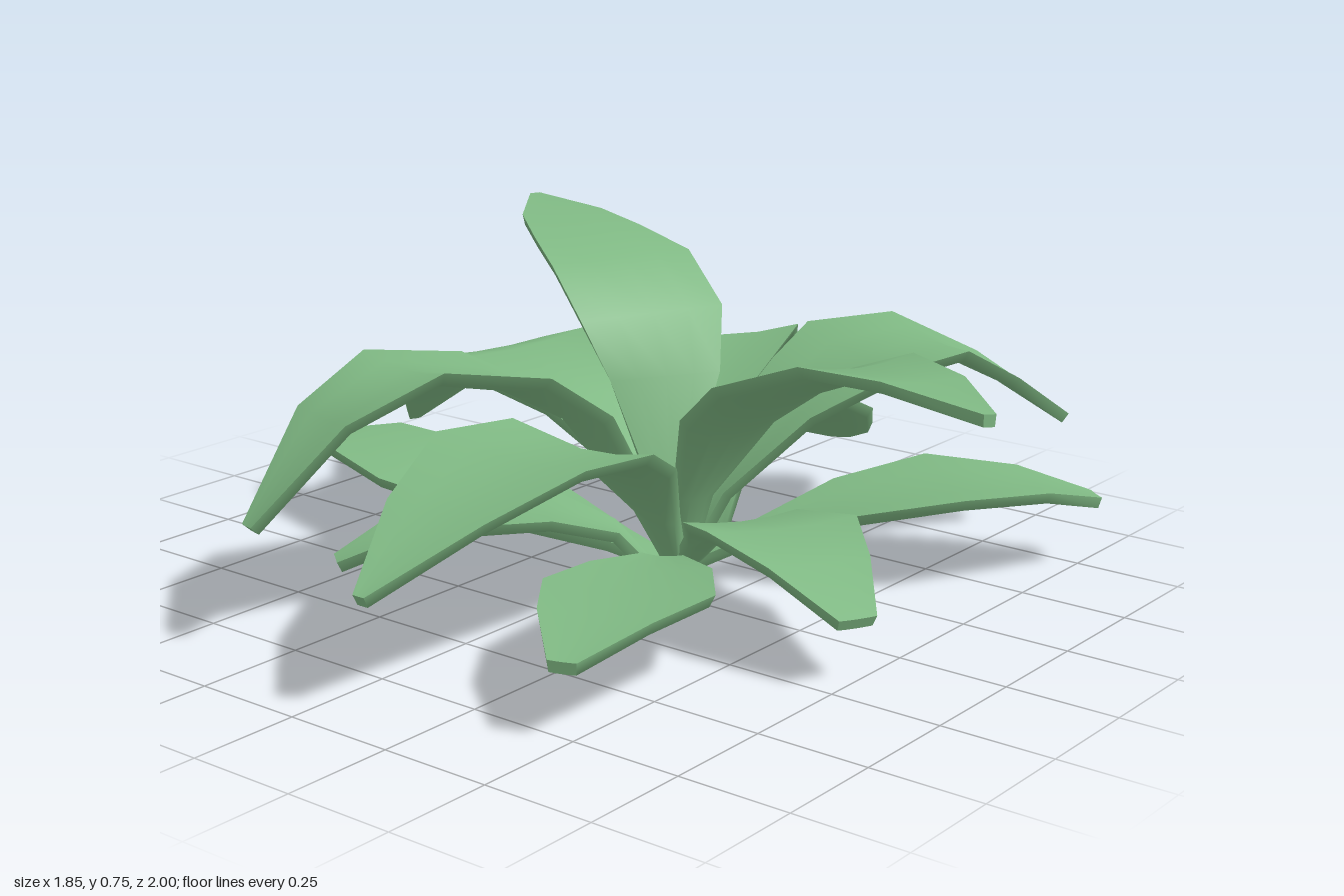
import * as THREE from 'three';

const material = new THREE.MeshStandardMaterial({ color: 0x7fb883 });
const THICK = 0.026;
const ACROSS = [-1, -0.5, 0, 0.5, 1];
const CROWN = [0.1, 0.035, 0.1, 0.02];

// Each leaf: cup, sideways tilt, then stations [x, y, z, half width] from the crown to the tip
const lowerLeaves = {
  lowerBackLeaf: [0.1, 0, CROWN, [0.07, 0.075, -0.05, 0.05], [0.03, 0.12, -0.3, 0.15], [-0.02, 0.175, -0.55, 0.18], [0, 0.195, -0.78, 0.125], [-0.015, 0.165, -0.995, 0.01]],
  lowerLeftLeaf: [0.1, 0.08, [0.22, 0.04, 0.1, 0.02], [0.28, 0.2, 0.09, 0.05], [0.42, 0.29, 0.07, 0.13], [0.58, 0.315, 0.04, 0.16], [0.75, 0.245, 0.03, 0.14], [0.86, 0.175, 0, 0.1], [0.91, 0.15, -0.01, 0.03]],
  lowerFrontLeftLeaf: [0.1, 0, CROWN, [0.2, 0.11, 0.22, 0.045], [0.34, 0.18, 0.38, 0.14], [0.5, 0.22, 0.54, 0.18], [0.65, 0.21, 0.68, 0.11], [0.775, 0.165, 0.775, 0.03]],
  lowerFrontLeaf: [0.1, 0.05, CROWN, [0.06, 0.13, 0.19, 0.04], [-0.01, 0.22, 0.35, 0.14], [-0.07, 0.25, 0.5, 0.18], [-0.14, 0.22, 0.64, 0.12], [-0.2, 0.15, 0.775, 0.045]],
  lowerFrontRightLeaf: [0.1, 0, CROWN, [-0.05, 0.11, 0.17, 0.045], [-0.22, 0.15, 0.27, 0.13], [-0.42, 0.18, 0.37, 0.18], [-0.6, 0.19, 0.43, 0.12], [-0.77, 0.165, 0.49, 0.03]],
  lowerBackRightLeaf: [0.1, 0, [0.04, 0.04, 0.08, 0.02], [-0.01, 0.13, 0.01, 0.05], [-0.13, 0.19, -0.1, 0.14], [-0.25, 0.19, -0.21, 0.145], [-0.37, 0.15, -0.33, 0.085], [-0.47, 0.09, -0.41, 0.03]],
};
const upperLeaves = {
  upperBackLeaf: [0.1, 0, CROWN, [0.1, 0.22, 0.02, 0.05], [0.09, 0.38, -0.16, 0.14], [0.1, 0.46, -0.38, 0.22], [0.15, 0.415, -0.55, 0.19], [0.22, 0.32, -0.72, 0.12], [0.305, 0.17, -0.91, 0.015]],
  tallLeaf: [-0.1, 0, CROWN, [0.11, 0.24, 0.065, 0.055], [0.14, 0.45, 0.03, 0.13], [0.17, 0.58, -0.03, 0.18], [0.22, 0.68, -0.16, 0.18], [0.27, 0.715, -0.3, 0.14], [0.33, 0.735, -0.43, 0.1], [0.43, 0.745, -0.6, 0.012]],
  upperLeftLeaf: [0.2, 0.08, CROWN, [0.2, 0.2, 0.06, 0.045], [0.33, 0.37, -0.02, 0.12], [0.5, 0.465, -0.09, 0.19], [0.68, 0.4, -0.17, 0.15], [0.82, 0.27, -0.2, 0.09], [0.92, 0.16, -0.2, 0.015]],
  upperFrontLeftLeaf: [0.15, 0, CROWN, [0.18, 0.2, 0.14, 0.05], [0.32, 0.38, 0.22, 0.16], [0.48, 0.485, 0.31, 0.24], [0.64, 0.505, 0.4, 0.2], [0.78, 0.42, 0.5, 0.13], [0.915, 0.3, 0.61, 0.022]],
  upperFrontLeaf: [0.2, 0.1, CROWN, [0.08, 0.22, 0.15, 0.045], [0.05, 0.41, 0.27, 0.12], [0.01, 0.52, 0.42, 0.18], [0.01, 0.6, 0.62, 0.18], [-0.03, 0.605, 0.8, 0.11], [-0.11, 0.59, 1, 0.015]],
  upperRightLeaf: [0.2, 0, CROWN, [0.01, 0.18, 0.12, 0.045], [-0.13, 0.33, 0.13, 0.13], [-0.28, 0.41, 0.13, 0.2], [-0.48, 0.425, 0.11, 0.21], [-0.7, 0.36, 0.11, 0.13], [-0.92, 0.25, 0.11, 0.015]],
  upperBackRightLeaf: [0.2, -0.1, CROWN, [0.01, 0.22, 0.06, 0.05], [-0.11, 0.42, -0.01, 0.15], [-0.26, 0.52, -0.1, 0.22], [-0.48, 0.565, -0.18, 0.2], [-0.65, 0.48, -0.25, 0.13], [-0.825, 0.28, -0.3, 0.022]],
};

// Thick leaf blade: cupped top, and an underside that wraps up to its rim
function leafGeometry([cup, tilt, ...stations]) {
  const centres = stations.map(([x, y, z]) => new THREE.Vector3(x, y, z));
  const last = stations.length - 1;
  const top = [], under = [];
  stations.forEach((station, i) => {
    const width = station[3];
    const along = centres[Math.min(i + 1, last)].clone().sub(centres[Math.max(i - 1, 0)]).normalize();
    const side = new THREE.Vector3().crossVectors(along, new THREE.Vector3(0, 1, 0)).normalize();
    const normal = new THREE.Vector3().crossVectors(side, along);
    const lift = cup * (1 - i / last) + 0.03;
    const row = ACROSS.map((u) => centres[i].clone()
      .addScaledVector(side, u * width)
      .addScaledVector(normal, width * (lift * (u * u - 0.4) + tilt * u)));
    const lowered = row.map((p, j) => p.clone()
      .addScaledVector(normal, -THICK)
      .addScaledVector(side, -0.07 * width * ACROSS[j]));
    top.push(row);
    under.push([row[0], ...lowered, row[row.length - 1]]);
  });

  const positions = [], index = [];
  // Joins rows of points into a surface with its own vertices
  const addSheet = (rows, flip) => {
    const start = positions.length / 3, n = rows[0].length;
    rows.flat().forEach((p) => positions.push(p.x, p.y, p.z));
    for (let i = 0; i < rows.length - 1; i++) {
      for (let j = 0; j < n - 1; j++) {
        const a = start + i * n + j, b = a + 1, c = a + n, d = c + 1;
        if (flip) index.push(a, c, b, b, c, d);
        else index.push(a, b, c, b, d, c);
      }
    }
  };
  addSheet(top, false);
  addSheet(under, true);
  addSheet([top[last], under[last].slice(1, -1)], false);
  addSheet([top[0], under[0].slice(1, -1)], true);

  const geometry = new THREE.BufferGeometry();
  geometry.setAttribute('position', new THREE.Float32BufferAttribute(positions, 3));
  geometry.setIndex(index);
  geometry.computeVertexNormals();
  return geometry;
}

function leafRing(name, leaves) {
  const ring = new THREE.Group();
  ring.name = name;
  for (const [leafName, leafData] of Object.entries(leaves)) {
    const leaf = new THREE.Mesh(leafGeometry(leafData), material);
    leaf.name = leafName;
    ring.add(leaf);
  }
  return ring;
}

export function createModel() {
  const plant = new THREE.Group();
  plant.name = 'leafyPlant';
  plant.add(leafRing('lowerLeaves', lowerLeaves));
  plant.add(leafRing('upperLeaves', upperLeaves));

  // Small crown where the leaves meet
  const crown = new THREE.Mesh(new THREE.CylinderGeometry(0.04, 0.02, 0.06, 6), material);
  crown.name = 'crown';
  crown.position.set(0.1, 0.03, 0.1);
  plant.add(crown);
  return plant;
}
